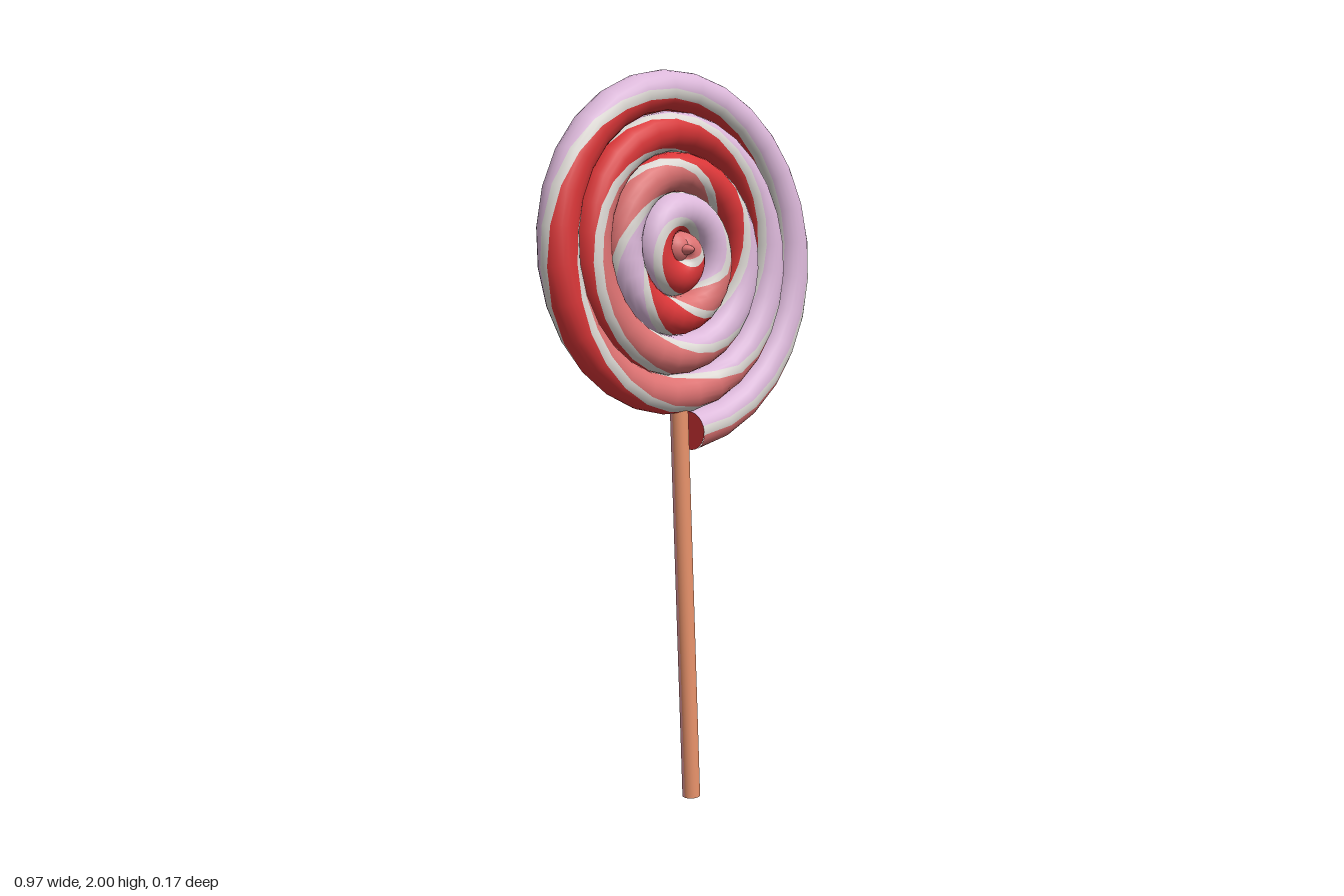
import * as THREE from 'three';
import { ParametricGeometry } from 'three/addons/geometries/ParametricGeometry.js';

const TUBE = 0.0535;     // candy rope radius
const OUTER = 0.485;     // spiral radius at the tail
const PITCH = 0.107;     // distance between neighbouring coils
const TURNS = 4.5;
const START = -86;       // tail angle in degrees
const HEIGHT = 1.516;    // height of the spiral centre

// Angles at which the stripe pattern has twisted by another sixth of a turn
const TWIST = [-80, 35, 115, 160, 215, 275, 300, 357, 420, 465, 510, 605, 645, 692, 740, 770, 800,
  837, 875, 902, 930, 965, 1000, 1030, 1060, 1137, 1215, 1315, 1415, 1470, 1530, 1580];

function twistAt(deg) {
  let i = 0;
  while (i < TWIST.length - 2 && deg > TWIST[i + 1]) i++;
  return (i + (deg - TWIST[i]) / (TWIST[i + 1] - TWIST[i])) / 6;
}

// One stripe of the rope, between pattern positions c0 and c1 (0..1 round the rope)
function stripeGeometry(c0, c1, sides) {
  return new ParametricGeometry((u, v, target) => {
    const deg = START + v * TURNS * 360;
    const a = THREE.MathUtils.degToRad(deg);
    const r = OUTER - PITCH * TURNS * v;
    const phi = 2 * Math.PI * (twistAt(deg) - (c1 + (c0 - c1) * u));
    const d = r + TUBE * Math.sin(phi);
    target.set(d * Math.cos(a), d * Math.sin(a), TUBE * Math.cos(phi));
  }, sides, 126);
}

export function createModel() {
  const paint = (name, color) => {
    const m = new THREE.MeshStandardMaterial({ color });
    m.name = name;
    return m;
  };
  const lilac = paint('lilac', 0xdcb8da);
  const red = paint('red', 0xdb3638);
  const salmon = paint('salmon', 0xdd7272);
  const white = paint('offWhite', 0xdcd8d3);
  const tan = paint('tanStick', 0xe6916a);
  const pink = paint('pinkStick', 0xe89ca0);

  const model = new THREE.Group();
  model.name = 'lollipop';
  const candy = new THREE.Group();
  candy.name = 'leaningLollipop';
  candy.position.set(-0.026, HEIGHT, -0.01);
  candy.rotation.x = -0.045;
  model.add(candy);

  const add = (name, geometry, material) => {
    const mesh = new THREE.Mesh(geometry, material);
    mesh.name = name;
    candy.add(mesh);
    return mesh;
  };

  // Coiled rope: three wide stripes with pale lines between them
  const half = 0.038;
  [['lilacStripe', lilac], ['redStripe', red], ['salmonStripe', salmon]].forEach(([name, material], i) => {
    const c0 = i / 3, c1 = (i + 1) / 3;
    add(name, stripeGeometry(c0 + half, c1 - half, 6), material);
    add('paleLine', stripeGeometry(c1 - half, c1 + half, 2), white);
  });

  // Cut end of the rope at the bottom
  const tail = THREE.MathUtils.degToRad(START);
  const cap = add('ropeEnd', new THREE.CircleGeometry(TUBE, 20), red);
  cap.position.set(OUTER * Math.cos(tail), OUTER * Math.sin(tail), 0);
  cap.rotation.y = -Math.PI / 2;

  // Rounded core closing the middle of the spiral: salmon in front, lilac behind
  [['coreFront', salmon, 0], ['coreBack', lilac, Math.PI]].forEach(([name, material, turn]) => {
    const dome = new THREE.SphereGeometry(0.045, 20, 10, 0, Math.PI);
    const core = add(name, dome, material);
    core.position.set(-0.01, 0.015, 0);
    core.rotation.y = turn;
  });

  // Small nub where the rope starts
  const nub = add('centreNub', new THREE.SphereGeometry(1, 16, 12), salmon);
  nub.scale.set(0.026, 0.018, 0.067);
  nub.position.y = 0.01;

  // Stick: tan in front and on the left, pink behind
  const length = 1.1;
  const radius = 0.025;
  const seam = THREE.MathUtils.degToRad(108);
  const stickSides = [['stickFront', tan, -Math.PI / 2, seam], ['stickBack', pink, seam, 1.5 * Math.PI]];
  for (const [name, material, from, to] of stickSides) {
    const side = new THREE.CylinderGeometry(radius, radius, length, 12, 1, true, from, to - from);
    const stick = add(name, side, material);
    stick.position.set(-0.008, -HEIGHT + length / 2, 0);
  }
  const foot = add('stickFoot', new THREE.CircleGeometry(radius, 20), pink);
  foot.position.set(-0.008, -HEIGHT, 0);
  foot.rotation.x = Math.PI / 2;

  return model;
}
